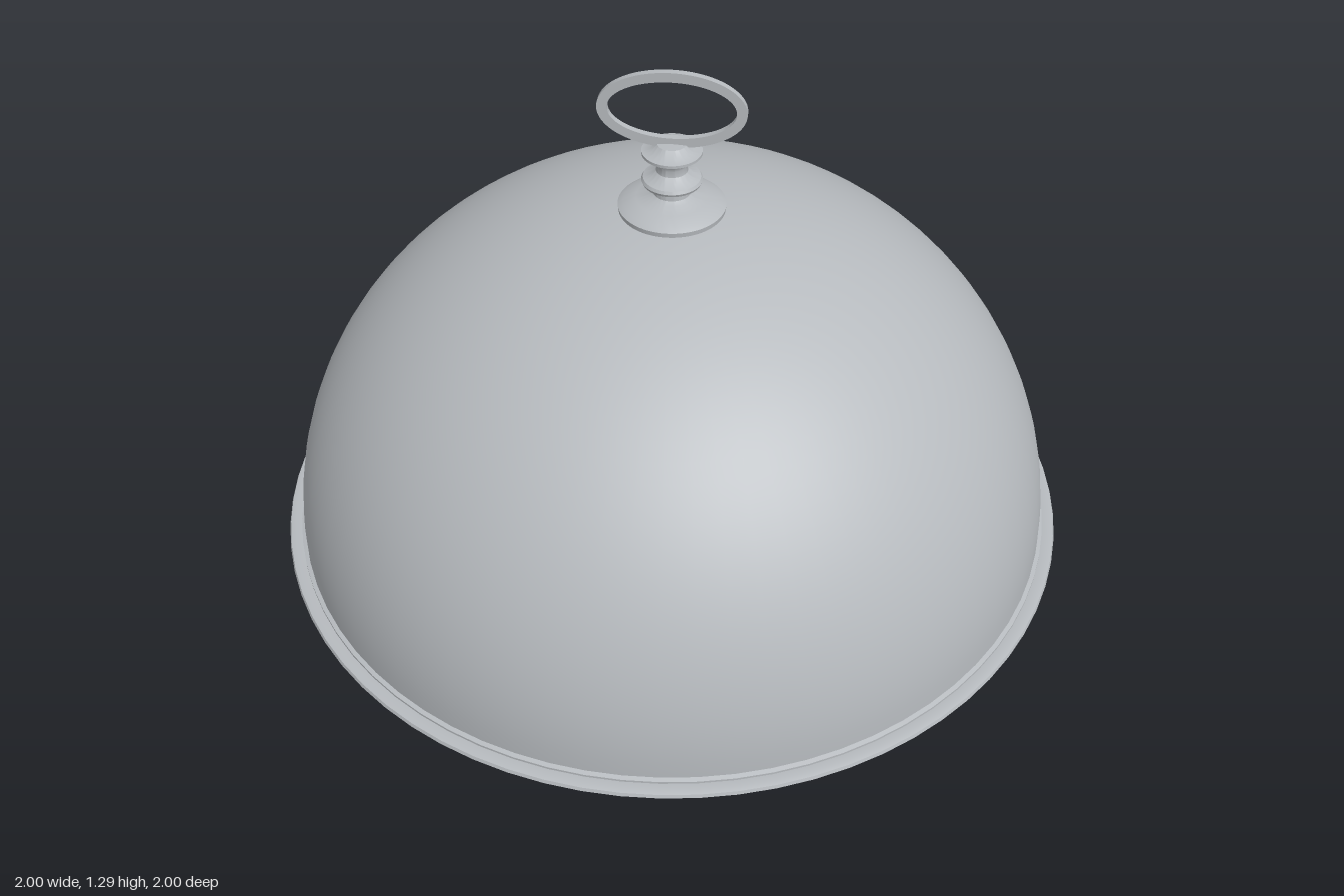
import * as THREE from 'three';
import { toCreasedNormals } from 'three/addons/utils/BufferGeometryUtils.js';

const SEGMENTS = 72;

export function createModel() {
  const group = new THREE.Group();
  const silver = new THREE.MeshStandardMaterial({ color: 0xb6babe });
  silver.name = 'silver';

  const add = (name, geometry) => {
    const mesh = new THREE.Mesh(geometry, silver);
    mesh.name = name;
    group.add(mesh);
  };

  // Profiles run from bottom to top as [radius, height]
  const lathe = (points, crease = 0.6) => toCreasedNormals(
    new THREE.LatheGeometry(points.map(([r, y]) => new THREE.Vector2(r, y)), SEGMENTS), crease);

  // Shallow tray with a flat base, sloped wall and thin flat rim
  add('tray', lathe([
    [0, 0], [0.84, 0], [0.875, 0.006], [0.905, 0.017], [0.93, 0.03],
    [0.99, 0.031], [1, 0.038], [0.997, 0.046], [0.985, 0.049],
    [0.955, 0.046], [0.93, 0.04], [0, 0.04],
  ]));

  // Half-ellipse dome with a small turned foot
  const dome = [[0.93, 0.041], [0.968, 0.045], [0.968, 0.053], [0.958, 0.056]];
  const steps = 32;
  for (let i = 1; i <= steps; i++) {
    const a = (i / steps) * Math.PI / 2;
    dome.push([0.958 * Math.cos(a), 0.056 + 0.882 * Math.sin(a)]);
  }
  add('dome', lathe(dome));

  // Turned finial: wide foot, neck, middle bead, waist and top cap
  add('finial', lathe([
    [0, 0.925], [0.126, 0.925], [0.128, 0.942], [0.115, 0.95], [0.085, 0.961],
    [0.055, 0.968], [0.045, 0.975], [0.044, 0.988], [0.055, 0.997],
    [0.069, 1.003], [0.072, 1.01], [0.068, 1.017], [0.05, 1.024],
    [0.038, 1.035], [0.036, 1.05], [0.042, 1.066], [0.055, 1.076],
    [0.071, 1.081], [0.071, 1.088], [0.05, 1.092], [0.035, 1.106], [0, 1.108],
  ]));

  // Flat oval ring handle
  const oval = new THREE.Shape().absellipse(0, 0, 0.172, 0.097, 0, Math.PI * 2);
  oval.holes.push(new THREE.Path().absellipse(0, 0, 0.148, 0.073, 0, Math.PI * 2, true));
  const ring = new THREE.ExtrudeGeometry(oval, { depth: 0.016, bevelEnabled: false, curveSegments: 48 });
  ring.translate(0, 1.195, -0.008);
  add('ringHandle', toCreasedNormals(ring, 0.6));

  return group;
}
